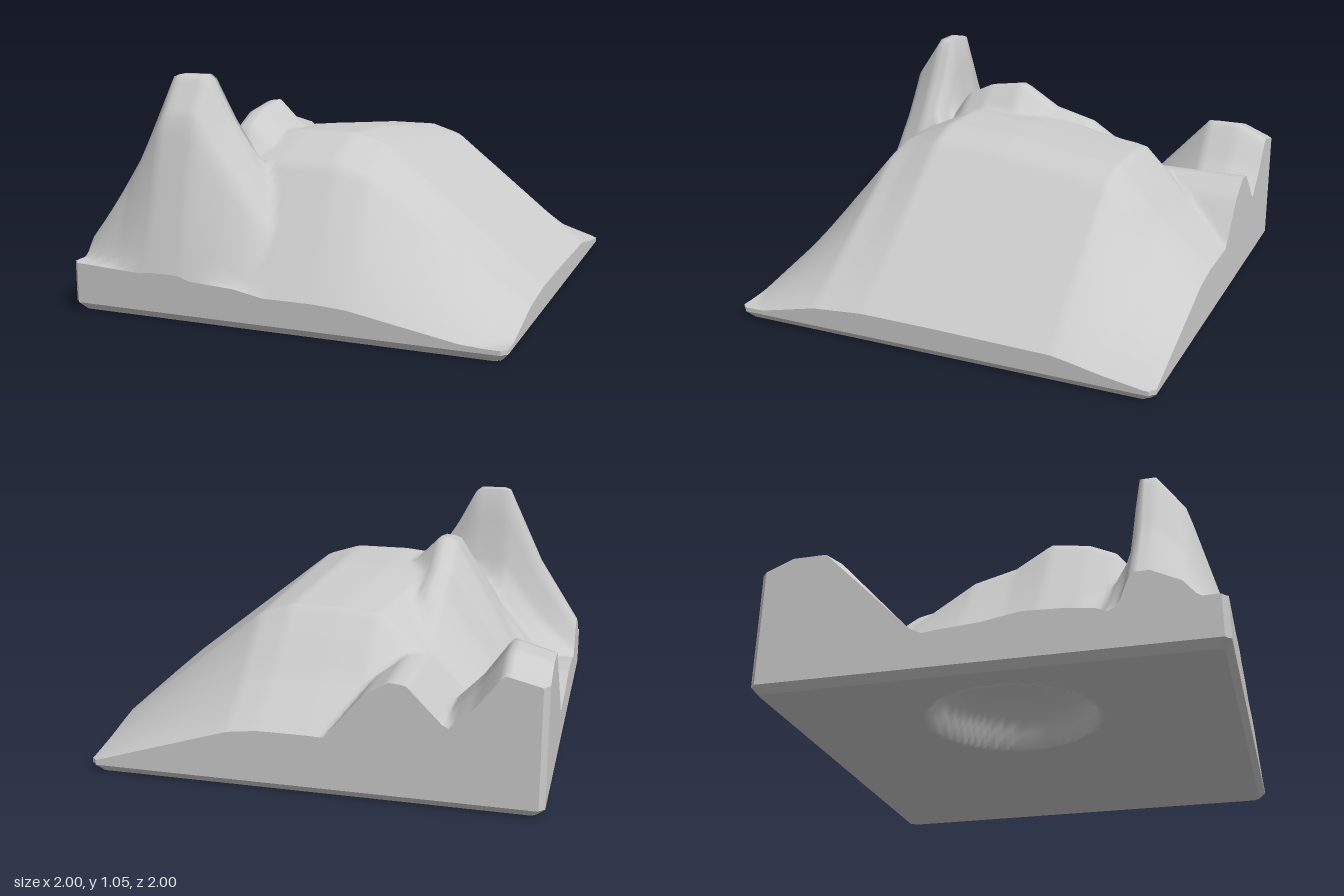
import * as THREE from 'three';
import { toCreasedNormals } from 'three/addons/utils/BufferGeometryUtils.js';

const material = new THREE.MeshStandardMaterial({ color: 0xcccccc });
const N = 80; // grid cells per side

// Straight-line profile through a few [position, value] points.
function profile(...points) {
  return (t) => {
    if (t <= points[0][0]) return points[0][1];
    for (let k = 1; k < points.length; k++) {
      const [a, va] = points[k - 1], [b, vb] = points[k];
      if (t <= b) return va + ((vb - va) * (t - a)) / (b - a);
    }
    return points[points.length - 1][1];
  };
}

// Eastward drift of the plateau towards its north and south ends.
const drift = profile([-1, 0.15], [-0.55, 0.12], [0, 0.03], [0.5, 0], [1, 0.1]);
const noDrift = () => 0;

// Each landform is a profile across x scaled by a profile along z.
const landforms = [
  { // long plateau with its west and east slopes
    drift,
    across: profile([-1, 0.06], [-0.55, 0.61], [-0.36, 0.75], [-0.15, 0.77], [0.1, 0.77], [0.26, 0.72], [1, 0.14]),
    along: profile([-1, 0.35], [-0.78, 0.59], [-0.65, 0.78], [-0.55, 0.91], [0, 0.99], [0.35, 1.01], [0.6, 0.86], [0.83, 0.48], [1, 0.2]),
  },
  { // rounded ridge along the west of the plateau
    drift: noDrift,
    across: profile([-0.8, 0.24], [-0.55, 0.66], [-0.42, 0.88], [-0.35, 0.89], [-0.24, 0.78], [0, 0.3], [0.2, 0]),
    along: profile([-0.5, 0.6], [-0.2, 0.82], [0, 0.88], [0.17, 1], [0.35, 0.97], [0.48, 0.9], [0.58, 0.74], [0.8, 0]),
  },
  { // blade-shaped south-west peak
    drift: noDrift,
    across: profile([-1, 0.36], [-0.8, 0.67], [-0.62, 1.05], [-0.46, 1.05], [-0.36, 0.86], [-0.2, 0.62], [0, 0.3], [0.2, 0]),
    along: profile([0.2, 0], [0.57, 0.62], [0.62, 1], [0.7, 1], [0.83, 0.82], [1, 0.2]),
  },
  { // blunt hill in the north-west corner
    drift: noDrift,
    across: profile([-1, 0.62], [-0.82, 0.67], [-0.7, 0.5], [-0.36, 0.15], [-0.2, 0]),
    along: profile([-1, 0.9], [-0.85, 1], [-0.7, 1], [-0.3, 0.35], [0, 0.1]),
  },
  { // low shelf along the front edge
    drift: noDrift,
    across: profile([-1, 0.22], [-0.2, 0.18], [0.3, 0.09], [1, 0.05]),
    along: profile([0.1, 0.3], [0.6, 1]),
  },
];

function height(x, z) {
  const heights = landforms.map((f) => f.across(x - f.drift(z) * (1 - x)) * f.along(z));
  return Math.max(0.055, ...heights);
}

// Domed hollow under the western slope.
function hollow(x, z) {
  const r = Math.hypot(x + 0.45, z) / 0.37;
  return 0.24 * Math.sqrt(Math.max(0, 1 - r * r));
}

// Plan position of a grid point; the four corners are pulled in slightly.
function plan(i, j) {
  const k = i % N === 0 && j % N === 0 ? 0.985 : 1;
  return [k * ((2 * i) / N - 1), k * ((2 * j) / N - 1)];
}

function landPoint(i, j) {
  const [x, z] = plan(i, j);
  return [x, height(x, z), z];
}

function floorPoint(i, j) {
  const [x, z] = plan(i, j).map((v) => v * 0.97);
  return [x, hollow(x, z), z];
}

// Indexed sheet of cols x rows points; flip turns its front side over.
function sheet(cols, rows, point, flip = false) {
  const pos = [], idx = [];
  for (let j = 0; j < rows; j++)
    for (let i = 0; i < cols; i++) pos.push(...point(i, j));
  for (let j = 0; j < rows - 1; j++)
    for (let i = 0; i < cols - 1; i++) {
      const a = j * cols + i, b = a + cols, c = a + 1, d = b + 1;
      if (flip) idx.push(a, c, b, c, d, b);
      else idx.push(a, b, c, c, b, d);
    }
  const g = new THREE.BufferGeometry();
  g.setAttribute('position', new THREE.Float32BufferAttribute(pos, 3));
  g.setIndex(idx);
  g.computeVertexNormals();
  return g;
}

// Closed walk round the border: west, south, east, north.
function borderPoint(k) {
  const s = k % N;
  const sides = [[0, s], [s, N], [N, N - s], [N - s, 0]];
  return landPoint(...sides[Math.floor(k / N) % 4]);
}

export function createModel() {
  const model = new THREE.Group();
  const add = (name, geometry) => {
    const mesh = new THREE.Mesh(geometry, material);
    mesh.name = name;
    model.add(mesh);
  };

  // Plateau, peaks and slopes
  add('landscape', sheet(N + 1, N + 1, landPoint));

  // Side walls down to the bevel, then the bevel itself
  const rim = ([x, , z]) => [x, 0.035, z];
  const foot = ([x, , z]) => [x * 0.97, 0, z * 0.97];
  const band = (upper, lower) =>
    toCreasedNormals(sheet(4 * N + 1, 2, (k, row) => (row ? lower : upper)(borderPoint(k))), 0.4);
  add('sideWalls', band((p) => p, rim));
  add('baseBevel', band(rim, foot));

  // Underside with its hollow
  add('underside', sheet(N + 1, N + 1, floorPoint, true));

  return model;
}
